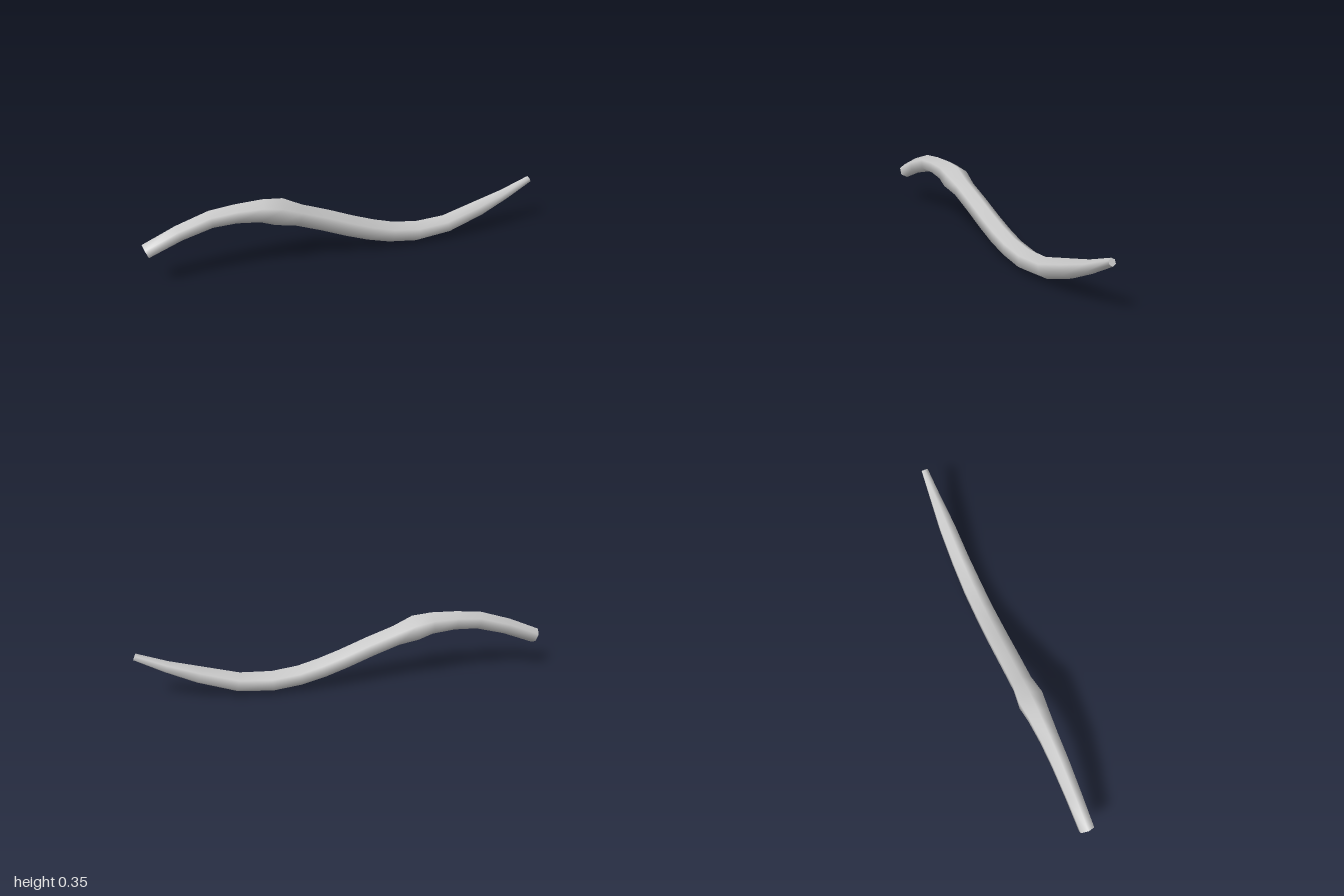
import * as THREE from 'three';

// Centre line x, y and radius of each hexagonal ring
const RINGS = [
  [-0.985, 0.175, 0.038], [-0.83, 0.24, 0.041], [-0.68, 0.285, 0.045],
  [-0.56, 0.294, 0.049], [-0.44, 0.29, 0.058], [-0.355, 0.272, 0.069],
  [-0.26, 0.24, 0.055], [-0.13, 0.193, 0.055], [0, 0.141, 0.055], [0.11, 0.102, 0.055],
  [0.22, 0.072, 0.054], [0.355, 0.055, 0.054], [0.52, 0.068, 0.05],
  [0.7, 0.125, 0.044], [0.85, 0.182, 0.03], [0.989, 0.246, 0.018],
];
const SIDES = 6;

// Corners of one ring, square to the centre line, with a point at the top
function ringPoints(i) {
  const [x, y, r] = RINGS[i];
  const a = RINGS[Math.max(i - 1, 0)];
  const b = RINGS[Math.min(i + 1, RINGS.length - 1)];
  const t = Math.atan2(b[1] - a[1], b[0] - a[0]);
  const points = [];
  for (let k = 0; k < SIDES; k++) {
    const angle = (k / SIDES) * Math.PI * 2;
    const up = Math.cos(angle) * r;
    points.push(new THREE.Vector3(x - Math.sin(t) * up, y + Math.cos(t) * up, Math.sin(angle) * r));
  }
  return points;
}

function makeMesh(name, points, index, material) {
  const geometry = new THREE.BufferGeometry().setFromPoints(points);
  geometry.setIndex(index);
  geometry.computeVertexNormals();
  const mesh = new THREE.Mesh(geometry, material);
  mesh.name = name;
  return mesh;
}

export function createModel() {
  const group = new THREE.Group();
  group.name = 'curvedShaft';
  const material = new THREE.MeshStandardMaterial({ color: 0xcccccc });

  // Shaft, smooth around its sides
  const points = [];
  const index = [];
  RINGS.forEach((_, i) => points.push(...ringPoints(i)));
  for (let i = 0; i < RINGS.length - 1; i++) {
    for (let k = 0; k < SIDES; k++) {
      const a = i * SIDES + k;
      const b = i * SIDES + ((k + 1) % SIDES);
      index.push(a, b, a + SIDES, b, b + SIDES, a + SIDES);
    }
  }
  group.add(makeMesh('shaft', points, index, material));

  // Flat end caps
  const leftCap = [];
  const rightCap = [];
  for (let k = 1; k < SIDES - 1; k++) {
    leftCap.push(0, k + 1, k);
    rightCap.push(0, k, k + 1);
  }
  group.add(makeMesh('thickEndCap', ringPoints(0), leftCap, material));
  group.add(makeMesh('thinEndCap', ringPoints(RINGS.length - 1), rightCap, material));
  return group;
}
